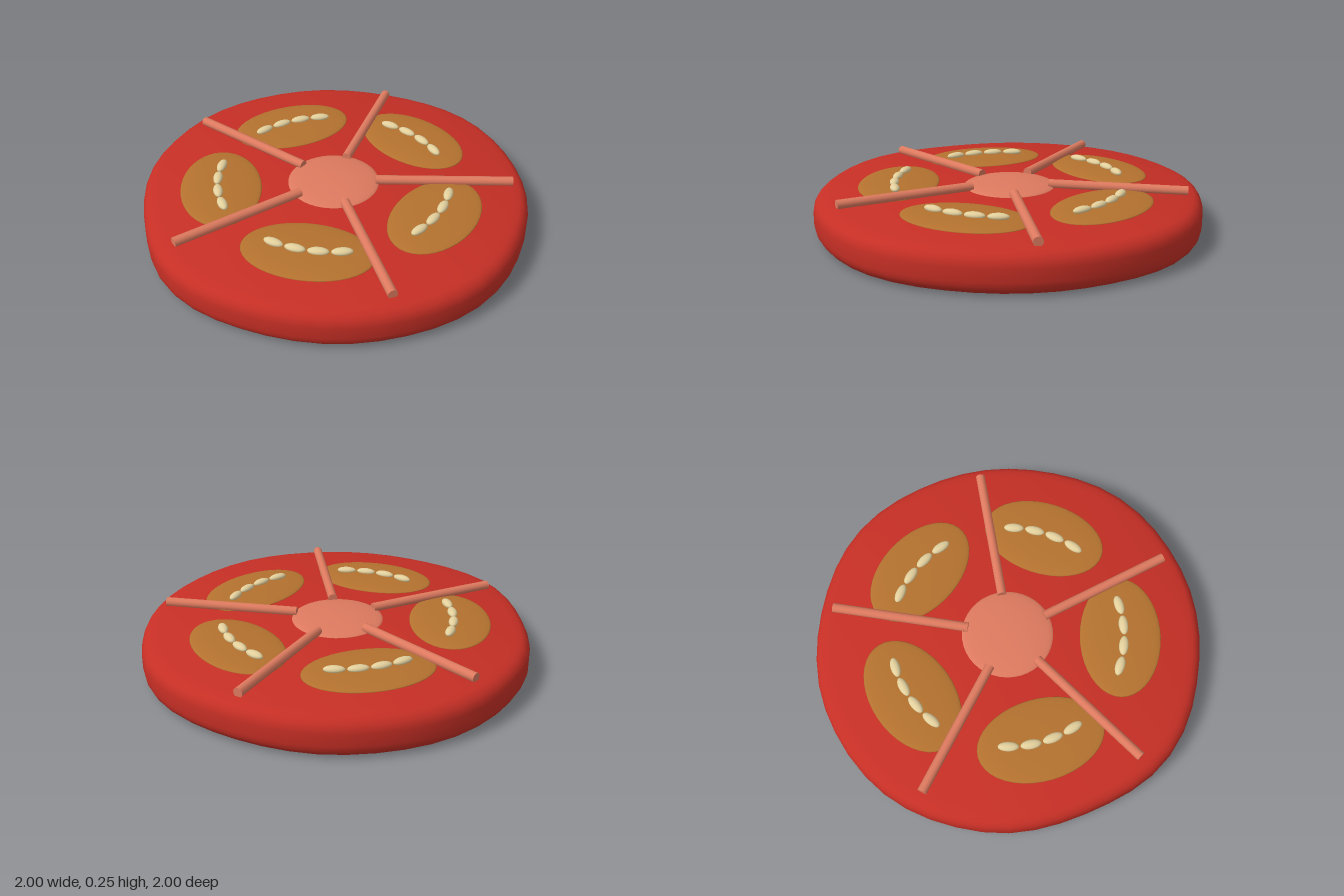
import * as THREE from 'three';
import { toCreasedNormals } from 'three/addons/utils/BufferGeometryUtils.js';

const mat = (name, color) => {
  const m = new THREE.MeshStandardMaterial({ color });
  m.name = name;
  return m;
};

export function createModel() {
  const skinRed = mat('skinRed', 0xc62f25);
  const paleFlesh = mat('paleFlesh', 0xdd7a5f);
  const gelBrown = mat('gelBrown', 0xb4722f);
  const seedCream = mat('seedCream', 0xe2cf9c);

  const group = new THREE.Group();
  group.name = 'tomatoSlice';
  const add = (name, geometry, material, x = 0, y = 0, z = 0) => {
    const mesh = new THREE.Mesh(geometry, material);
    mesh.name = name;
    mesh.position.set(x, y, z);
    group.add(mesh);
    return mesh;
  };

  // Slice: rounded disc profile with a slightly raised cut face
  const profile = [[0, 0], [0.92, 0]];
  const round = 0.07;
  for (let i = 1; i <= 5; i++) {
    const a = -Math.PI / 2 + (i / 5) * Math.PI / 2;
    profile.push([1 - round + round * Math.cos(a), round + round * Math.sin(a)]);
  }
  for (let i = 0; i <= 5; i++) {
    const a = (i / 5) * Math.PI / 2;
    profile.push([1 - round + round * Math.cos(a), 0.2 - round + round * Math.sin(a)]);
  }
  profile.push([0.915, 0.205], [0, 0.205]);
  const slice = new THREE.LatheGeometry(profile.map(p => new THREE.Vector2(...p)), 48);

  // Uneven outline: radius every 30 degrees, from +x towards +z
  const radii = [0.995, 0.975, 0.975, 0.995, 0.98, 0.975, 1, 0.965, 0.985, 1, 0.99, 0.975];
  const pos = slice.attributes.position;
  for (let i = 0; i < pos.count; i++) {
    const x = pos.getX(i), z = pos.getZ(i);
    const t = ((Math.atan2(z, x) / (Math.PI * 2) + 1) % 1) * 12;
    const k = Math.floor(t) % 12, f = t - Math.floor(t);
    const s = (1 - Math.cos(f * Math.PI)) / 2;
    const r = radii[k] * (1 - s) + radii[(k + 1) % 12] * s;
    pos.setX(i, x * r);
    pos.setZ(i, z * r);
  }
  add('slice', toCreasedNormals(slice, 0.7), skinRed);

  // Core: low dome in the middle
  const ball = new THREE.SphereGeometry(1, 40, 20);
  add('core', ball, paleFlesh, 0, 0.203, -0.01).scale.set(0.232, 0.024, 0.232);

  // Ribs: thin rods given as inner and outer ends (x, z)
  const ribs = [
    [-0.037, -0.203, -0.166, -0.893],
    [0.176, -0.107, 0.786, -0.439],
    [0.15, 0.139, 0.658, 0.61],
    [-0.091, 0.176, -0.385, 0.807],
    [-0.203, -0.032, -0.893, -0.123],
  ];
  for (const [x0, z0, x1, z1] of ribs) {
    const length = Math.hypot(x1 - x0, z1 - z0);
    const rib = add('rib', new THREE.CylinderGeometry(0.024, 0.024, length, 12), paleFlesh,
      (x0 + x1) / 2, 0.221, (z0 + z1) / 2);
    rib.quaternion.setFromUnitVectors(new THREE.Vector3(0, 1, 0),
      new THREE.Vector3((x1 - x0) / length, 0, (z1 - z0) / length));
  }

  // Five seed pockets around the core, each with an arc of four seeds
  const seedBall = new THREE.SphereGeometry(1, 16, 10);
  for (let i = 0; i < 5; i++) {
    const a = (i * Math.PI * 2) / 5;
    const place = (name, geo, material, radius, angle, y, size) => {
      const m = add(name, geo, material, Math.cos(angle) * radius, y, -0.01 + Math.sin(angle) * radius);
      m.rotation.y = -angle;
      m.scale.set(...size);
    };
    place('seedPocket', ball, gelBrown, 0.568, a, 0.205, [0.204, 0.018, 0.318]);
    for (let j = 0; j < 4; j++) {
      place('seed', seedBall, seedCream, 0.585, a + (j - 1.5) * 0.188, 0.227, [0.024, 0.018, 0.052]);
    }
  }
  return group;
}
